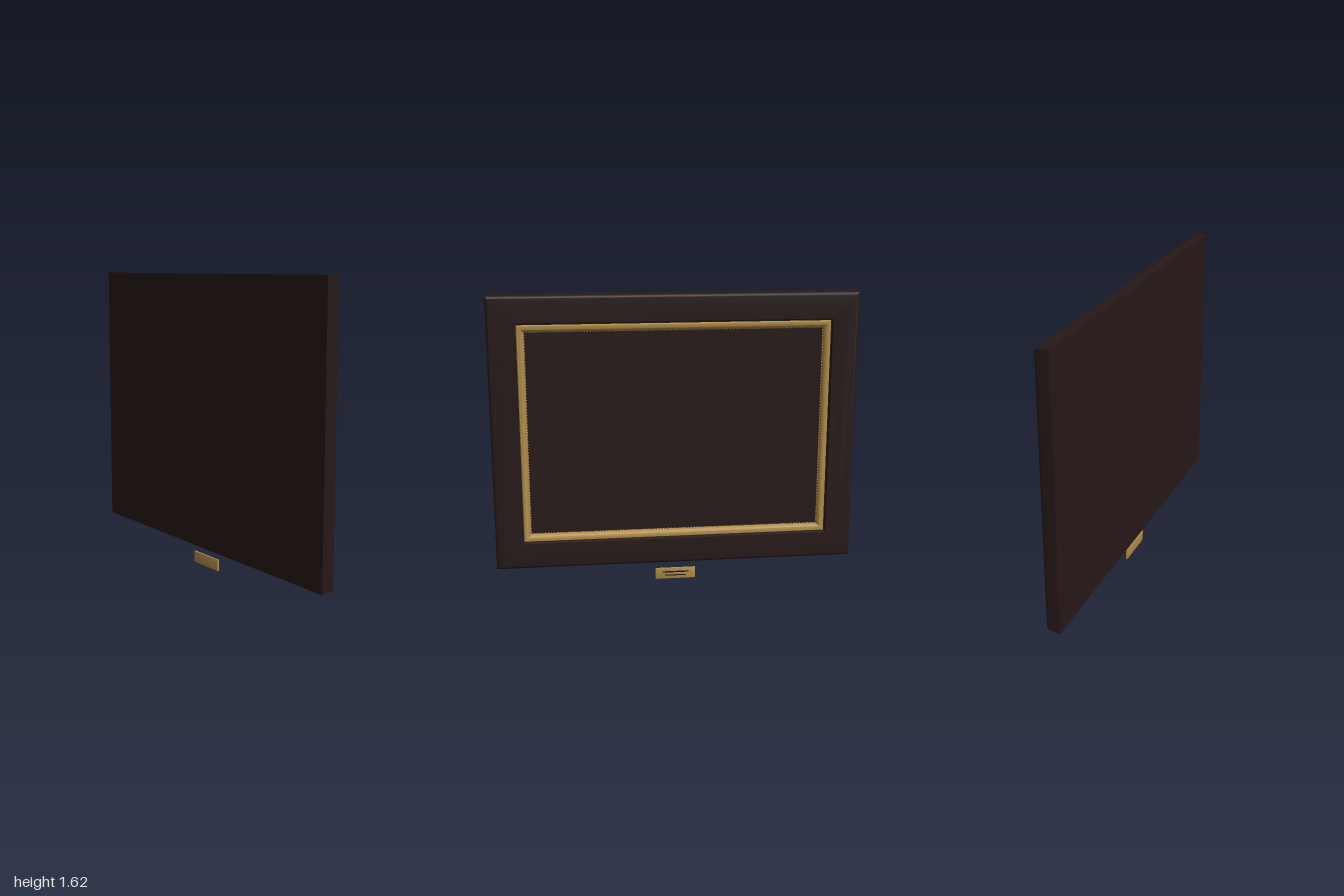
import * as THREE from 'three';
import { toCreasedNormals, mergeGeometries } from 'three/addons/utils/BufferGeometryUtils.js';

const W = 2, BOTTOM = 0.112, TOP = 1.625;
const H = TOP - BOTTOM, MID = (TOP + BOTTOM) / 2;

// Sweeps a [inset, z] profile around the rectangle with mitred corners
function mouldingGeometry(profile) {
  const corners = [[1, -1], [1, 1], [-1, 1], [-1, -1]];
  const point = ([inset, z], [sx, sy]) => [sx * (W / 2 - inset), MID + sy * (H / 2 - inset), z];
  const positions = [];
  for (let c = 0; c < 4; c++) {
    const a = corners[c], b = corners[(c + 1) % 4];
    for (let i = 0; i < profile.length - 1; i++) {
      const p0 = point(profile[i], a), p1 = point(profile[i], b);
      const p2 = point(profile[i + 1], b), p3 = point(profile[i + 1], a);
      positions.push(...p0, ...p3, ...p2, ...p0, ...p2, ...p1);
    }
  }
  const g = new THREE.BufferGeometry();
  g.setAttribute('position', new THREE.Float32BufferAttribute(positions, 3));
  return toCreasedNormals(g, 0.6);
}

// Row of small beads along all four sides at a given inset
function beadingGeometry(inset, z, radius, spacing) {
  const x = W / 2 - inset, y = H / 2 - inset;
  const beads = [];
  const bead = (px, py) => beads.push(new THREE.SphereGeometry(radius, 8, 6).translate(px, MID + py, z));
  const nx = Math.round(2 * x / spacing), ny = Math.round(2 * y / spacing);
  for (const side of [-1, 1]) {
    for (let i = 0; i <= nx; i++) bead(-x + 2 * x * i / nx, side * y);
    for (let i = 1; i < ny; i++) bead(side * x, -y + 2 * y * i / ny);
  }
  return mergeGeometries(beads);
}

// Softly shaded bevelled plate, centred on the origin
function plateGeometry(width, height, depth, bevel) {
  const x = width / 2 - bevel, y = height / 2 - bevel;
  const shape = new THREE.Shape([[-x, -y], [x, -y], [x, y], [-x, y]].map(p => new THREE.Vector2(...p)));
  const g = new THREE.ExtrudeGeometry(shape, {
    depth: depth - 2 * bevel, bevelThickness: bevel, bevelSize: bevel, bevelSegments: 2,
  });
  g.translate(0, 0, bevel - depth / 2);
  return toCreasedNormals(g, 1.2);
}

export function createModel() {
  const wood = new THREE.MeshStandardMaterial({ name: 'dark wood', color: 0x261918 });
  const gold = new THREE.MeshStandardMaterial({ name: 'old gold', color: 0xb08c48 });
  const model = new THREE.Group();
  model.name = 'pictureFrame';

  const add = (name, geometry, material, x = 0, y = 0, z = 0, parent = model) => {
    const mesh = new THREE.Mesh(geometry, material);
    mesh.name = name;
    mesh.position.set(x, y, z);
    parent.add(mesh);
    return mesh;
  };

  // Wooden moulding: rounded outer edge, gentle fall, step to the gilding, rabbet wall
  const woodProfile = [[0, 0.042], [0.003, -0.02]];
  for (let i = 1; i <= 5; i++) {
    const t = (i / 5) * Math.PI / 2;
    woodProfile.push([0.025 - 0.022 * Math.cos(t), -0.02 - 0.022 * Math.sin(t)]);
  }
  woodProfile.push([0.08, -0.042], [0.147, -0.038], [0.153, -0.025], [0.162, -0.024], [0.162, 0.036]);
  add('woodenMoulding', mouldingGeometry(woodProfile), wood);

  // Gilded lip: proud outer shoulder rounding over towards the sight edge
  const lipProfile = [[0.157, -0.022], [0.158, -0.029], [0.162, -0.034]];
  for (let i = 0; i <= 6; i++) {
    const t = (i / 6) * Math.PI / 2;
    lipProfile.push([0.167 + 0.03 * Math.sin(t), -0.008 - 0.027 * Math.cos(t)]);
  }
  add('giltLip', mouldingGeometry(lipProfile), gold);
  add('giltBeading', beadingGeometry(0.196, -0.009, 0.005, 0.016), gold);

  // Backing board, seen through the opening
  add('backingBoard', new THREE.BoxGeometry(W, H, 0.008), wood, 0, MID, 0.038);

  // Name plate below the frame, with engraved bars and two screws
  const plate = new THREE.Group();
  plate.name = 'plaque';
  plate.position.set(0, 0.0325, 0.012);
  model.add(plate);
  add('plaquePlate', plateGeometry(0.228, 0.065, 0.011, 0.003), gold, 0, 0, 0, plate);
  add('upperBar', new THREE.BoxGeometry(0.15, 0.008, 0.002), wood, 0, 0.009, -0.0055, plate);
  add('lowerBar', new THREE.BoxGeometry(0.12, 0.006, 0.002), wood, 0, -0.011, -0.0055, plate);
  for (const side of [-1, 1]) {
    const screw = add('screw', new THREE.CylinderGeometry(0.004, 0.006, 0.006, 16), gold, side * 0.097, 0, -0.008, plate);
    screw.rotation.x = -Math.PI / 2;
    add('screwSlot', new THREE.BoxGeometry(0.007, 0.0015, 0.001), wood, side * 0.097, 0, -0.011, plate);
  }
  return model;
}
